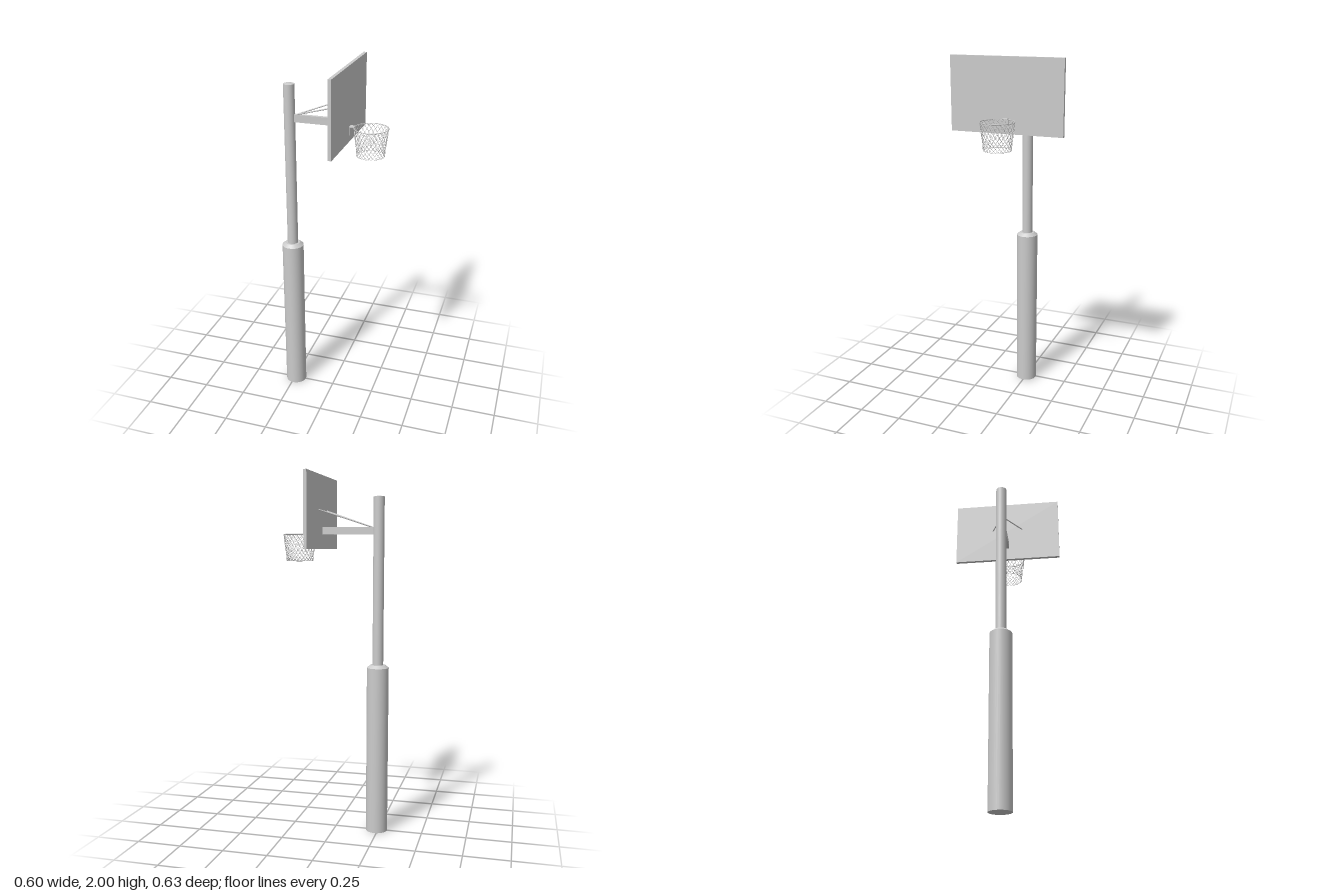
import * as THREE from 'three';

const material = new THREE.MeshStandardMaterial({ color: 0xcccccc, side: THREE.DoubleSide });
const POLE_X = -0.24, HOOP_X = 0.209, RIM_Y = 1.681;

function add(parent, name, geometry, x = 0, y = 0, z = 0) {
  const mesh = new THREE.Mesh(geometry, material);
  mesh.name = name;
  mesh.position.set(x, y, z);
  parent.add(mesh);
  return mesh;
}

// Upright cylinder or cone section between two heights
function column(parent, name, y0, y1, r0, r1, open = true) {
  return add(parent, name, new THREE.CylinderGeometry(r1, r0, y1 - y0, 32, 1, open), POLE_X, (y0 + y1) / 2, 0);
}

// Box given by its lower and upper limits
function box(parent, name, x0, x1, y0, y1, halfZ) {
  return add(parent, name, new THREE.BoxGeometry(x1 - x0, y1 - y0, halfZ * 2), (x0 + x1) / 2, (y0 + y1) / 2, 0);
}

function ring(parent, name, radius, tube, y) {
  const mesh = add(parent, name, new THREE.TorusGeometry(radius, tube, 8, 48), HOOP_X, y, 0);
  mesh.rotation.x = Math.PI / 2;
}

// Straight round bar between two points
function rod(parent, name, a, b, radius) {
  const path = new THREE.LineCurve3(new THREE.Vector3(...a), new THREE.Vector3(...b));
  add(parent, name, new THREE.TubeGeometry(path, 1, radius, 8));
}

// Crossing helical cords that follow the tapering net profile
function makeNet() {
  const net = new THREE.Group();
  net.name = 'net';
  const profile = new THREE.SplineCurve([
    new THREE.Vector2(0.09, 1.681), new THREE.Vector2(0.087, 1.645),
    new THREE.Vector2(0.08, 1.595), new THREE.Vector2(0.076, 1.56), new THREE.Vector2(0.075, 1.534),
  ]);
  const cords = 24, steps = 20, twist = 1.31;
  for (const direction of [-1, 1]) {
    const points = [];
    for (let i = 0; i <= steps; i++) {
      const p = profile.getPoint(i / steps), a = direction * twist * i / steps;
      points.push(new THREE.Vector3(p.x * Math.cos(a), p.y, p.x * Math.sin(a)));
    }
    const cord = new THREE.TubeGeometry(new THREE.CatmullRomCurve3(points), steps, 0.001, 4);
    for (let k = 0; k < cords; k++) {
      add(net, 'netCord', cord, HOOP_X).rotation.y = k * Math.PI * 2 / cords;
    }
  }
  ring(net, 'netHem', 0.075, 0.001, 1.534);
  return net;
}

export function createModel() {
  const model = new THREE.Group();
  model.name = 'basketballHoop';

  // Pole with shallow conical cap
  column(model, 'pole', 0.94, 1.88, 0.03, 0.03);
  column(model, 'poleCap', 1.88, 1.886, 0.03, 0.0);

  // Padding with bevelled top
  column(model, 'polePadding', 0, 0.945, 0.061, 0.061, false);
  column(model, 'paddingBevel', 0.945, 0.961, 0.061, 0.042, false);

  // Arm and diagonal braces
  box(model, 'supportArm', -0.22, 0.076, 1.678, 1.719, 0.01);
  for (const side of [-1, 1]) {
    rod(model, 'brace', [-0.21, 1.715, 0], [0.078, 1.812, side * 0.091], 0.0035);
  }

  // Backboard
  box(model, 'backboard', 0.075, 0.093, 1.6, 2, 0.317);

  // Rim bracket: back plate and ledge
  box(model, 'bracketPlate', 0.092, 0.097, 1.638, 1.684, 0.015);
  box(model, 'bracketLedge', 0.092, 0.118, 1.679, 1.684, 0.015);

  // Hoop
  ring(model, 'rim', 0.091, 0.0022, RIM_Y);
  model.add(makeNet());
  return model;
}
